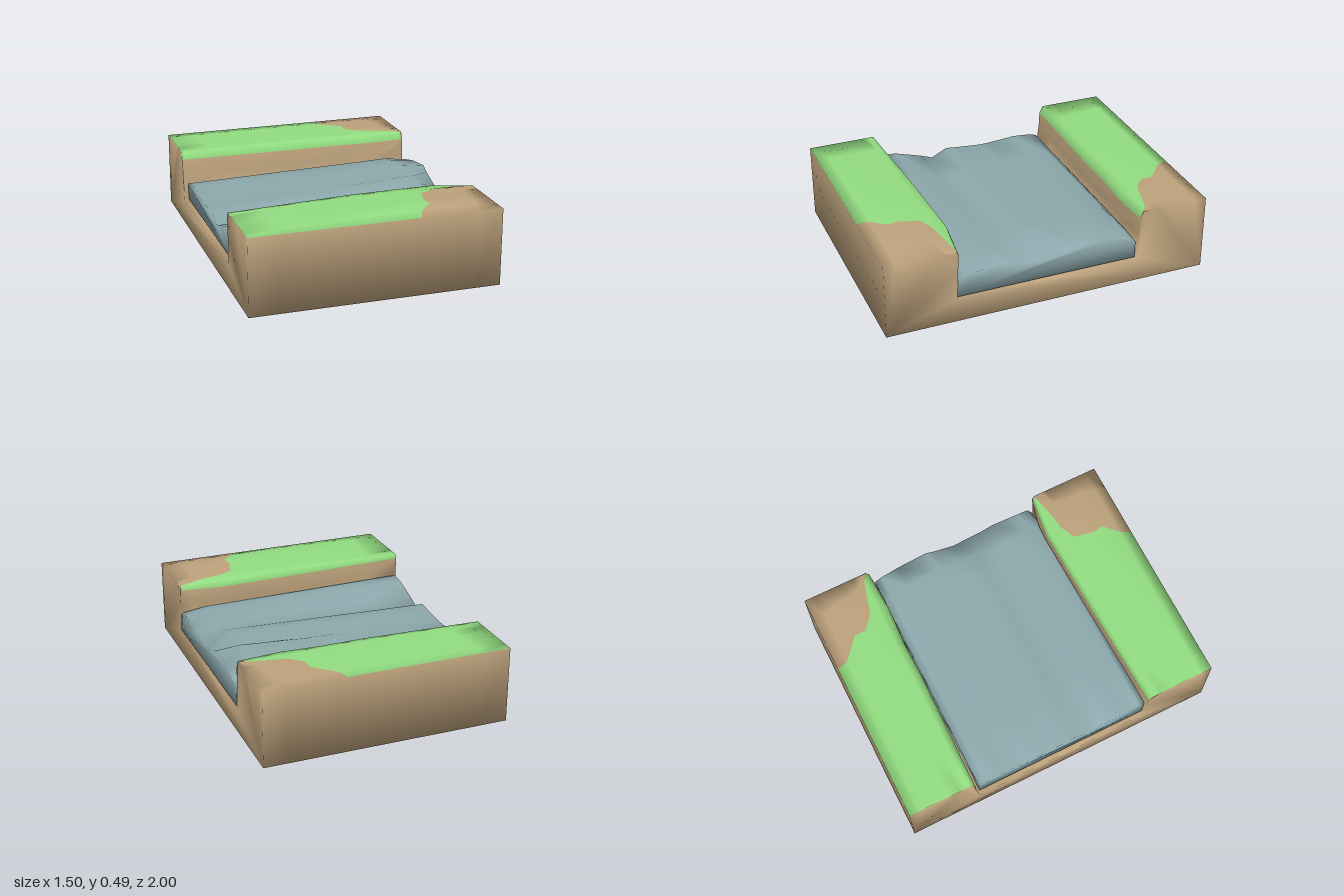
import * as THREE from 'three';

// Piecewise linear lookup through [key, value] pairs
function lookup(pairs, k) {
  if (k <= pairs[0][0]) return pairs[0][1];
  for (let i = 1; i < pairs.length; i++) {
    const [k0, v0] = pairs[i - 1], [k1, v1] = pairs[i];
    if (k <= k1) return v0 + (v1 - v0) * (k - k0) / (k1 - k0);
  }
  return pairs[pairs.length - 1][1];
}

// Closed loft along x through rings of [x, y, z]; isPainted(i, j) picks the second material
function loft(rings, isPainted = () => false) {
  const n = rings[0].length;
  const plain = [], painted = [];
  for (let i = 0; i < rings.length - 1; i++) {
    for (let j = 0; j < n; j++) {
      const a = i * n + j, d = i * n + (j + 1) % n;
      (isPainted(i, j) ? painted : plain).push(a, a + n, d + n, a, d + n, d);
    }
  }
  // end caps
  for (const end of [0, rings.length - 1]) {
    const pts = rings[end].map(([, y, z]) => new THREE.Vector2(z, y));
    for (const [a, b, c] of THREE.ShapeUtils.triangulateShape(pts, [])) {
      const area = THREE.ShapeUtils.area([pts[a], pts[b], pts[c]]);
      const o = end * n;
      if ((area < 0) === (end > 0)) plain.push(o + a, o + b, o + c);
      else plain.push(o + a, o + c, o + b);
    }
  }
  const geo = new THREE.BufferGeometry();
  geo.setAttribute('position', new THREE.Float32BufferAttribute(rings.flat(2), 3));
  geo.setIndex([...plain, ...painted]);
  geo.addGroup(0, plain.length, 0);
  if (painted.length) geo.addGroup(plain.length, painted.length, 1);
  geo.computeVertexNormals();
  return geo;
}

// Inner edge of each bank along x, and the swell of the bank tops
const frontEdge = [[-0.75, 0.57], [0, 0.54], [0.5, 0.525], [0.6, 0.53], [0.745, 0.56]];
const backEdge = [[-0.75, -0.58], [0, -0.565], [0.2, -0.572], [0.6, -0.55], [0.745, -0.57]];
const swell = [[-0.75, 0], [-0.3, 0.018], [0.1, 0.032], [0.4, 0.023], [0.58, 0.025], [0.745, 0]];

// Profile from front foot to back foot: grass limit in x, then height and z at a given x
const top = (f, x) => 0.465 + f * lookup(swell, x);
const flat = (limit, z, f) => ({ limit, at: x => [top(f, x), z] });
const wall = (limit, edge, offset, y) => ({ limit, at: x => [y, lookup(edge, x) + offset] });
const profile = [
  { limit: 0.25, at: () => [0, 1] },
  flat(0.25, 1, 0), flat(0.28, 0.93, 0.65), flat(0.36, 0.85, 1), flat(0.35, 0.78, 0.9),
  flat(0.38, 0.66, 0.8), flat(0.47, 0.62, 0.75), flat(0.6, 0.6, 0.7),
  { limit: 0.735, at: x => [top(0.6, x), lookup(frontEdge, x) + 0.015] },
  wall(0.735, frontEdge, 0, 0.44),
  wall(0.5, frontEdge, 0.005, 0.34),
  { limit: 0.3, at: () => [0.153, 0.572] },
  { limit: 0.3, at: () => [0.15, 0] },
  { limit: 0.3, at: () => [0.153, -0.555] },
  wall(0.5, backEdge, 0.005, 0.32),
  wall(0.735, backEdge, 0, 0.42),
  { limit: 0.735, at: x => [top(0.25, x), lookup(backEdge, x) - 0.02] },
  flat(0.7, -0.62, 0.3), flat(0.48, -0.68, 0.35), flat(0.4, -0.75, 0.3), flat(0.4, -0.82, 0.25),
  flat(0.27, -0.93, 0.1), flat(0.25, -1, 0),
  { limit: 0.25, at: () => [0, -1] },
];
const GRASS_STEPS = 6;
const EARTH_STEPS = [0.4, 0.7, 1];

function bankRings() {
  const ring = xOf => profile.map(p => {
    const x = xOf(p.limit);
    const [y, z] = p.at(x);
    return [x, y, z];
  });
  const rings = [];
  for (let i = 0; i <= GRASS_STEPS; i++) {
    rings.push(ring(limit => THREE.MathUtils.lerp(-0.75, limit, i / GRASS_STEPS)));
  }
  for (const t of EARTH_STEPS) rings.push(ring(limit => THREE.MathUtils.lerp(limit, 0.745, t)));
  return rings;
}

// Water heights across z at three places along the stream
const waterZ = [0.57, 0.53, 0.45, 0.28, 0.2, 0.1, 0, -0.13, -0.19, -0.38, -0.5, -0.545];
const waterStart = [0.32, 0.335, 0.33, 0.28, 0.25, 0.3, 0.29, 0.28, 0.28, 0.295, 0.285, 0.27];
const waterCrest = [0.3, 0.32, 0.33, 0.33, 0.31, 0.34, 0.36, 0.335, 0.365, 0.345, 0.32, 0.28];
const waterEnd = [0.22, 0.3, 0.31, 0.32, 0.3, 0.29, 0.28, 0.325, 0.355, 0.33, 0.3, 0.27];

function waterRings() {
  return [-0.725, -0.4, -0.1, 0.2, 0.45, 0.6, 0.745].map(x => [
    [x, 0.165, 0.57],
    ...waterZ.map((z, k) => [
      x, lookup([[-0.725, waterStart[k]], [0.6, waterCrest[k]], [0.745, waterEnd[k]]], x), z,
    ]),
    [x, 0.165, -0.545],
  ]);
}

export function createModel() {
  const make = (name, color) => {
    const m = new THREE.MeshStandardMaterial({ color });
    m.name = name;
    return m;
  };
  const earth = make('earth', 0xbda27c);
  const grass = make('grass', 0x92dc80);
  const water = make('water', 0x8ca8ac);

  const group = new THREE.Group();
  group.name = 'riverTile';

  // Grass covers the bank tops and their lips, up to the ragged limit
  const isGrass = (i, j) => i < GRASS_STEPS && ((j >= 1 && j <= 8) || (j >= 15 && j <= 21));
  const banks = new THREE.Mesh(loft(bankRings(), isGrass), [earth, grass]);
  banks.name = 'riverBanks';

  const stream = new THREE.Mesh(loft(waterRings()), water);
  stream.name = 'riverWater';

  group.add(banks, stream);
  return group;
}
